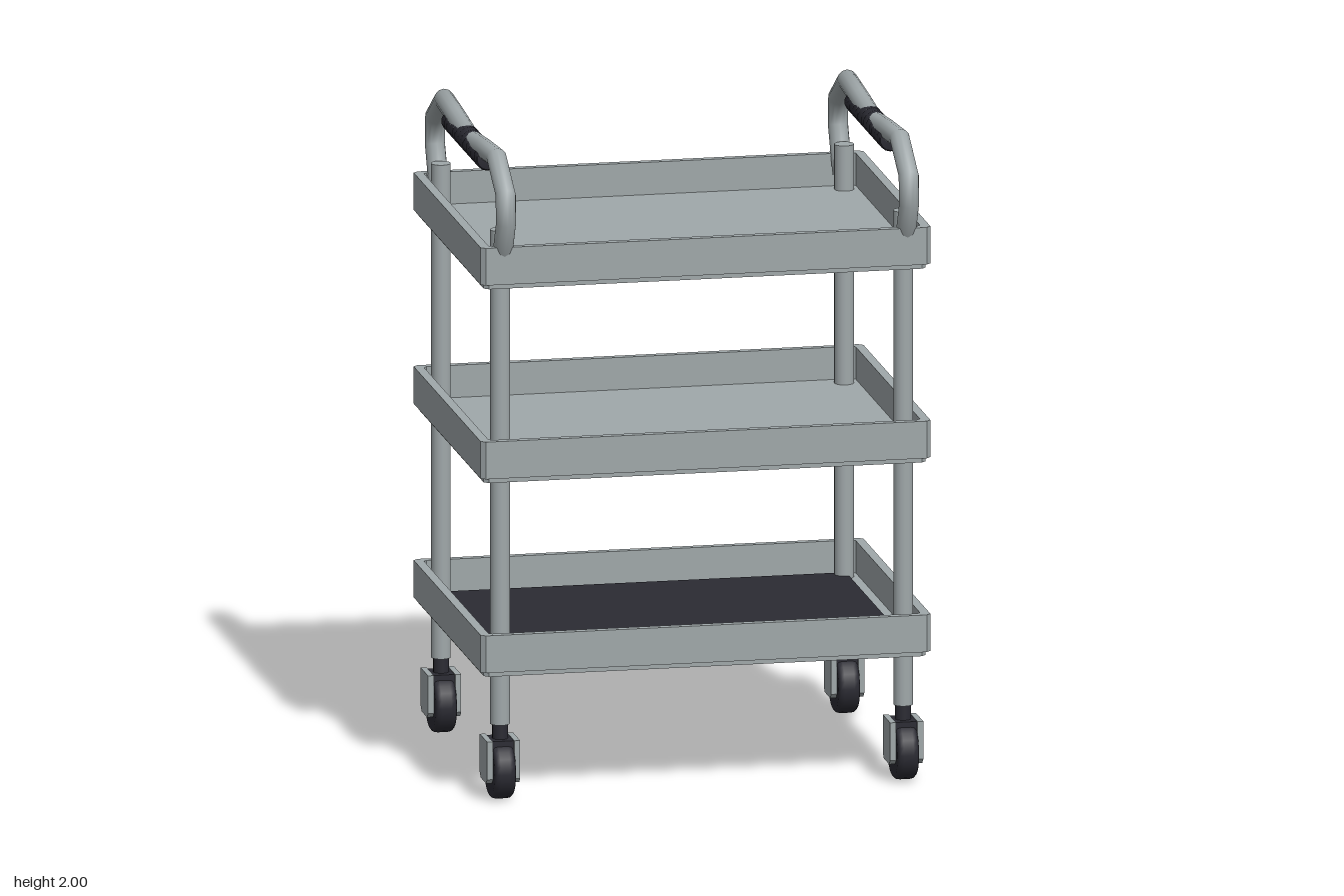
import * as THREE from 'three';

const grey = new THREE.MeshStandardMaterial({ color: 0xa0a8aa });
grey.name = 'greyMetal';
const dark = new THREE.MeshStandardMaterial({ color: 0x2b2b33 });
dark.name = 'darkRubber';

const LEG_X = 0.62, LEG_Z = 0.44;

function add(parent, name, geometry, material, x = 0, y = 0, z = 0) {
  const mesh = new THREE.Mesh(geometry, material);
  mesh.name = name;
  mesh.position.set(x, y, z);
  parent.add(mesh);
  return mesh;
}

// Rectangle with chamfered corners
function outline(hx, hz, c) {
  return [
    [hx, -hz + c], [hx, hz - c], [hx - c, hz], [-hx + c, hz],
    [-hx, hz - c], [-hx, -hz + c], [-hx + c, -hz], [hx - c, -hz],
  ].map(([x, y]) => new THREE.Vector2(x, y));
}

// Flat shape extruded upwards
function slab(points, height, hole) {
  const shape = new THREE.Shape(points);
  if (hole) shape.holes.push(new THREE.Path(hole));
  return new THREE.ExtrudeGeometry(shape, { depth: height, bevelEnabled: false }).rotateX(-Math.PI / 2);
}

// Path with straight runs; the tube gets one ring per point
class Polyline extends THREE.Curve {
  constructor(points) {
    super();
    this.points = points;
  }
  getPoint(t, target = new THREE.Vector3()) {
    const n = this.points.length - 1;
    const i = Math.min(Math.floor(t * n + 1e-6), n - 1);
    return target.lerpVectors(this.points[i], this.points[i + 1], t * n - i);
  }
  getPointAt(u, target) {
    return this.getPoint(u, target);
  }
  getTangentAt(u, target = new THREE.Vector3()) {
    const a = this.getPoint(Math.max(u - 0.01, 0));
    const b = this.getPoint(Math.min(u + 0.01, 1));
    return target.copy(b).sub(a).normalize();
  }
}

// Tray: rim wall, floor with a stepped-in lower edge
function makeTray(y) {
  const tray = new THREE.Group();
  tray.name = 'tray';
  tray.position.y = y;
  add(tray, 'trayWall', slab(outline(0.692, 0.512, 0.014), 0.115, outline(0.664, 0.488, 0.01).reverse()), grey, 0, 0.015);
  add(tray, 'trayFloor', slab(outline(0.68, 0.5, 0.014), 0.03), grey);
  return tray;
}

// Handle: bent tube with a ribbed grip below its dip
function makeHandle() {
  const handle = new THREE.Group();
  handle.name = 'handle';
  const half = [[0.46, 1.66], [0.487, 1.71], [0.53, 1.80], [0.525, 1.885], [0.39, 1.97], [0.2, 1.955]];
  const path = [...half, [0, 1.935], ...half.map(([z, y]) => [-z, y]).reverse()]
    .map(([z, y]) => new THREE.Vector3(0, y, z));
  add(handle, 'handleTube', new THREE.TubeGeometry(new Polyline(path), path.length - 1, 0.031, 12), grey);

  const profile = [[0, -0.26]];
  for (let i = 0; i < 13; i++) {
    const z = -0.26 + i * 0.04;
    profile.push([0.036, z], [0.036, z + 0.034], [0.032, z + 0.035], [0.032, z + 0.039]);
  }
  profile.push([0, 0.26]);
  const grip = new THREE.LatheGeometry(profile.map(([r, z]) => new THREE.Vector2(r, z)), 14);
  add(handle, 'handleGrip', grip.rotateX(Math.PI / 2), dark, 0, 1.934);
  return handle;
}

// Caster: stem, wheel and a plate on either side
function makeCaster() {
  const caster = new THREE.Group();
  caster.name = 'caster';
  add(caster, 'casterStem', new THREE.CylinderGeometry(0.024, 0.024, 0.07, 14), dark, 0, 0.205);
  add(caster, 'casterBracket', new THREE.BoxGeometry(0.066, 0.03, 0.09), dark, 0, 0.17);
  const tread = [[0, -0.033], [0.08, -0.033], [0.088, -0.026], [0.09, -0.015],
    [0.09, 0.015], [0.088, 0.026], [0.08, 0.033], [0, 0.033]];
  const wheel = new THREE.LatheGeometry(tread.map(([r, h]) => new THREE.Vector2(r, h)), 24);
  add(caster, 'casterWheel', wheel.rotateZ(Math.PI / 2), dark, 0, 0.09);
  const plate = new THREE.Shape([[-0.04, 0.055], [0.04, 0.055], [0.055, 0.07], [0.055, 0.187], [-0.055, 0.187], [-0.055, 0.07]]
    .map(([z, y]) => new THREE.Vector2(z, y)));
  const side = new THREE.ExtrudeGeometry(plate, { depth: 0.018, bevelEnabled: false }).rotateY(Math.PI / 2);
  for (const x of [-0.051, 0.033]) add(caster, 'casterPlate', side, grey, x);
  return caster;
}

export function createModel() {
  const cart = new THREE.Group();
  cart.name = 'trolley';

  for (const y of [0.39, 0.99, 1.59]) cart.add(makeTray(y));

  // Mat on the lowest tray
  add(cart, 'trayMat', new THREE.BoxGeometry(1.26, 0.008, 0.92), dark, 0, 0.424, 0);

  // Legs, casters and handles
  const leg = new THREE.CylinderGeometry(0.03, 0.03, 1.53, 16);
  for (const sx of [-1, 1]) {
    for (const sz of [-1, 1]) {
      add(cart, 'leg', leg, grey, sx * LEG_X, 0.995, sz * LEG_Z);
      const caster = makeCaster();
      caster.position.set(sx * LEG_X, 0, sz * LEG_Z);
      cart.add(caster);
    }
    const handle = makeHandle();
    handle.position.x = sx * LEG_X;
    cart.add(handle);
  }
  return cart;
}
